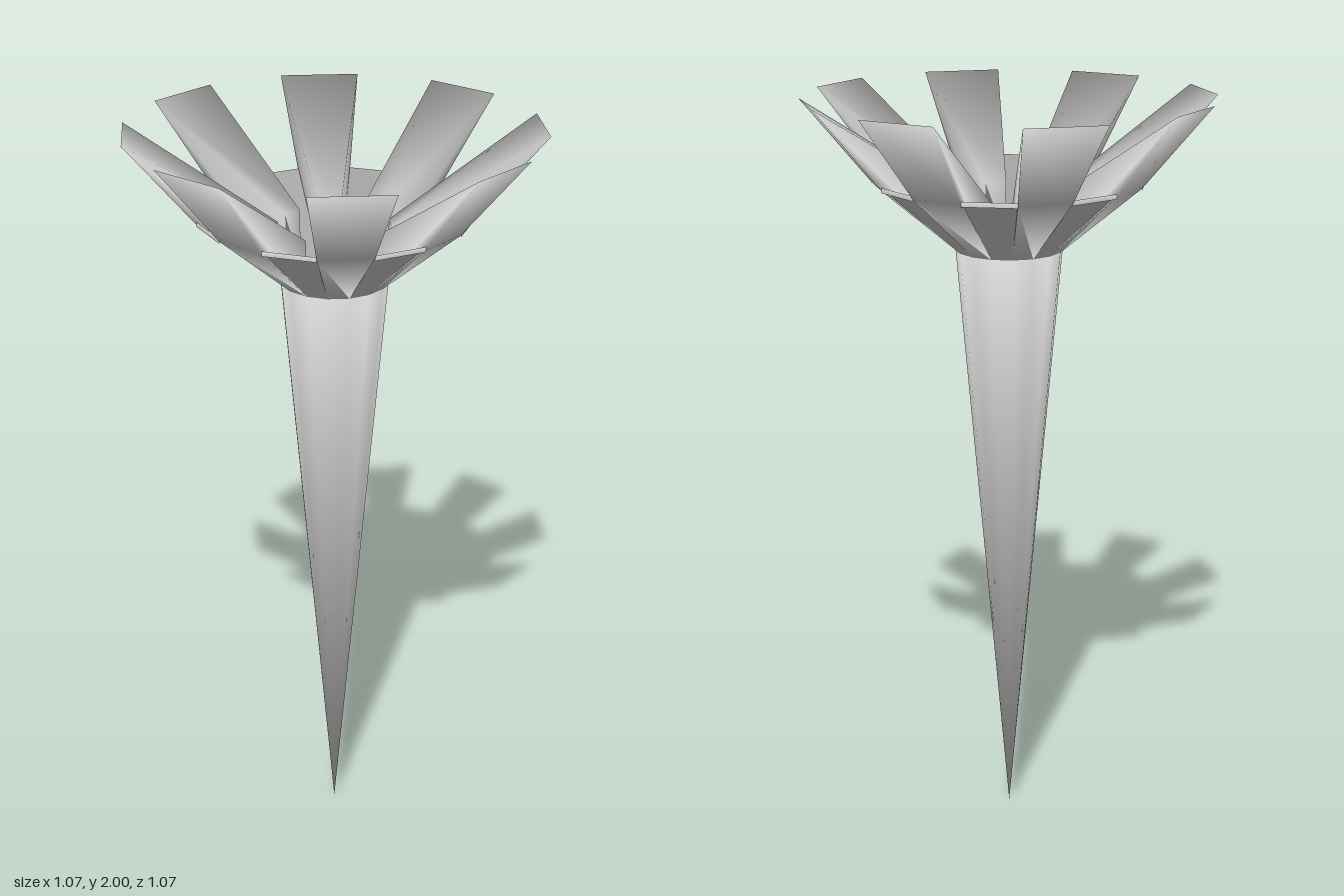
import * as THREE from 'three';

const SIDES = 16;
const STEP = (Math.PI * 2) / SIDES;
const grey = new THREE.MeshStandardMaterial({ color: 0xcccccc, side: THREE.DoubleSide });

const points = (list) => list.map(([r, y]) => new THREE.Vector2(r, y));

function addMesh(parent, geometry, name) {
  const mesh = new THREE.Mesh(geometry.toNonIndexed(), grey);
  mesh.name = name;
  parent.add(mesh);
}

// One facet of the sixteen-sided crown, swept from a radius/height profile
const sector = (profile, start) => new THREE.LatheGeometry(points(profile), 1, start, STEP);

// Blend normals over every corner that shares a position, weighted by corner angle
function smoothTogether(group) {
  const sums = new Map();
  const key = (p) => p.toArray().map((v) => Math.round(v * 2000)).join();
  const meshes = [];
  group.traverse((o) => { if (o.isMesh) meshes.push(o); });
  for (const { geometry } of meshes) {
    const pos = geometry.attributes.position;
    for (let i = 0; i < pos.count; i += 3) {
      const tri = [0, 1, 2].map((j) => new THREE.Vector3().fromBufferAttribute(pos, i + j));
      const normal = new THREE.Triangle(...tri).getNormal(new THREE.Vector3());
      tri.forEach((p, j) => {
        const a = tri[(j + 1) % 3].clone().sub(p);
        const b = tri[(j + 2) % 3].clone().sub(p);
        const angle = a.lengthSq() > 1e-10 && b.lengthSq() > 1e-10 ? a.angleTo(b) : 0;
        const k = key(p);
        if (!sums.has(k)) sums.set(k, new THREE.Vector3());
        sums.get(k).addScaledVector(normal, angle);
      });
    }
  }
  for (const { geometry } of meshes) {
    const { position, normal } = geometry.attributes;
    for (let i = 0; i < position.count; i++) {
      const n = sums.get(key(new THREE.Vector3().fromBufferAttribute(position, i))).clone().normalize();
      normal.setXYZ(i, n.x, n.y, n.z);
    }
  }
}

export function createModel() {
  const model = new THREE.Group();
  model.name = 'spikeFlower';

  // Long tapering spike
  addMesh(model, new THREE.LatheGeometry(points([[0, 0], [0.14, 1.605]]), SIDES), 'stem');

  // Floor inside the crown
  const floor = new THREE.CircleGeometry(0.14, SIDES);
  floor.rotateX(-Math.PI / 2).translate(0, 1.605, 0);
  addMesh(model, floor, 'cupFloor');

  // Wedge-shaped long petals alternate with short cup panels
  const petalProfile = [[0.14, 1.605], [0.355, 1.785], [0.535, 2], [0.145, 1.755], [0.14, 1.605]];
  const panelProfile = [[0.355, 1.78], [0.355, 1.793], [0.14, 1.605]];
  const startSide = new THREE.ShapeGeometry(new THREE.Shape(points(petalProfile.slice(0, 4))));
  const endSide = startSide.clone();
  endSide.index.array.reverse();

  for (let i = 0; i < SIDES; i += 2) {
    const start = i * STEP;
    const petal = new THREE.Group();
    petal.name = 'longPetal';
    addMesh(petal, sector(petalProfile, start), 'petalFaces');
    addMesh(petal, startSide.clone().rotateY(start - Math.PI / 2), 'petalSide');
    addMesh(petal, endSide.clone().rotateY(start + STEP - Math.PI / 2), 'petalSide');
    model.add(petal);
    addMesh(model, sector(panelProfile, start + STEP), 'shortPanel');
  }

  smoothTogether(model);
  return model;
}
